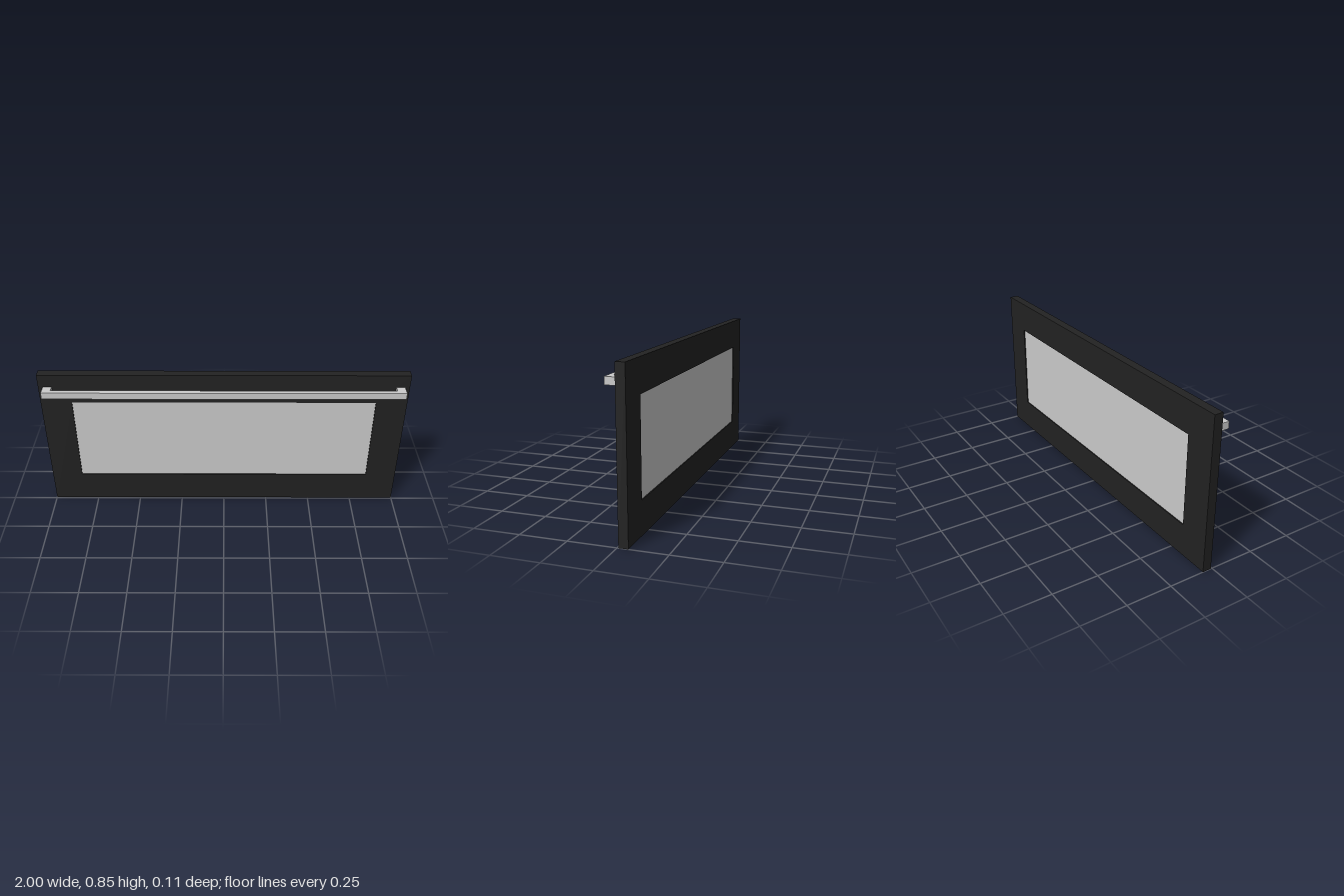
import * as THREE from 'three';

const grey = new THREE.MeshStandardMaterial({ color: 0xcccccc });
const black = new THREE.MeshStandardMaterial({ color: 0x222222 });

function polygon(points, Type = THREE.Shape) {
  return new Type(points.map(([x, y]) => new THREE.Vector2(x, y)));
}

function rect(x0, y0, x1, y1, Type) {
  return polygon([[x0, y0], [x1, y0], [x1, y1], [x0, y1]], Type);
}

function extrude(name, shape, depth, material) {
  const geometry = new THREE.ExtrudeGeometry(shape, { depth, bevelEnabled: false });
  const mesh = new THREE.Mesh(geometry, material);
  mesh.name = name;
  return mesh;
}

export function createModel() {
  const group = new THREE.Group();
  group.name = 'ovenDoor';

  const back = -0.056, front = -0.007, recess = 0.006;
  const win = [-0.83, 0.176, 0.83, 0.678];

  // Door frame with a rectangular opening
  const outline = rect(-1, 0, 1, 0.85);
  outline.holes.push(rect(...win, THREE.Path));
  const frame = extrude('doorFrame', outline, front - back, black);
  frame.position.z = back;
  group.add(frame);

  // Window pane, set slightly back from both faces of the frame
  const pane = extrude('windowPane', rect(...win), front - back - 2 * recess, grey);
  pane.position.z = back + recess;
  group.add(pane);

  // U-shaped handle, drawn in plan (x, z) and extruded downwards
  const outer = 0.974, inner = 0.927, barBack = 0.03, barFront = 0.056;
  const plan = polygon([
    [-outer, front], [-inner, front], [-inner, barBack], [inner, barBack],
    [inner, front], [outer, front], [outer, barFront], [-outer, barFront],
  ]);
  const handle = extrude('handle', plan, 0.038, grey);
  handle.geometry.rotateX(Math.PI / 2);
  handle.position.y = 0.778;
  group.add(handle);

  return group;
}
